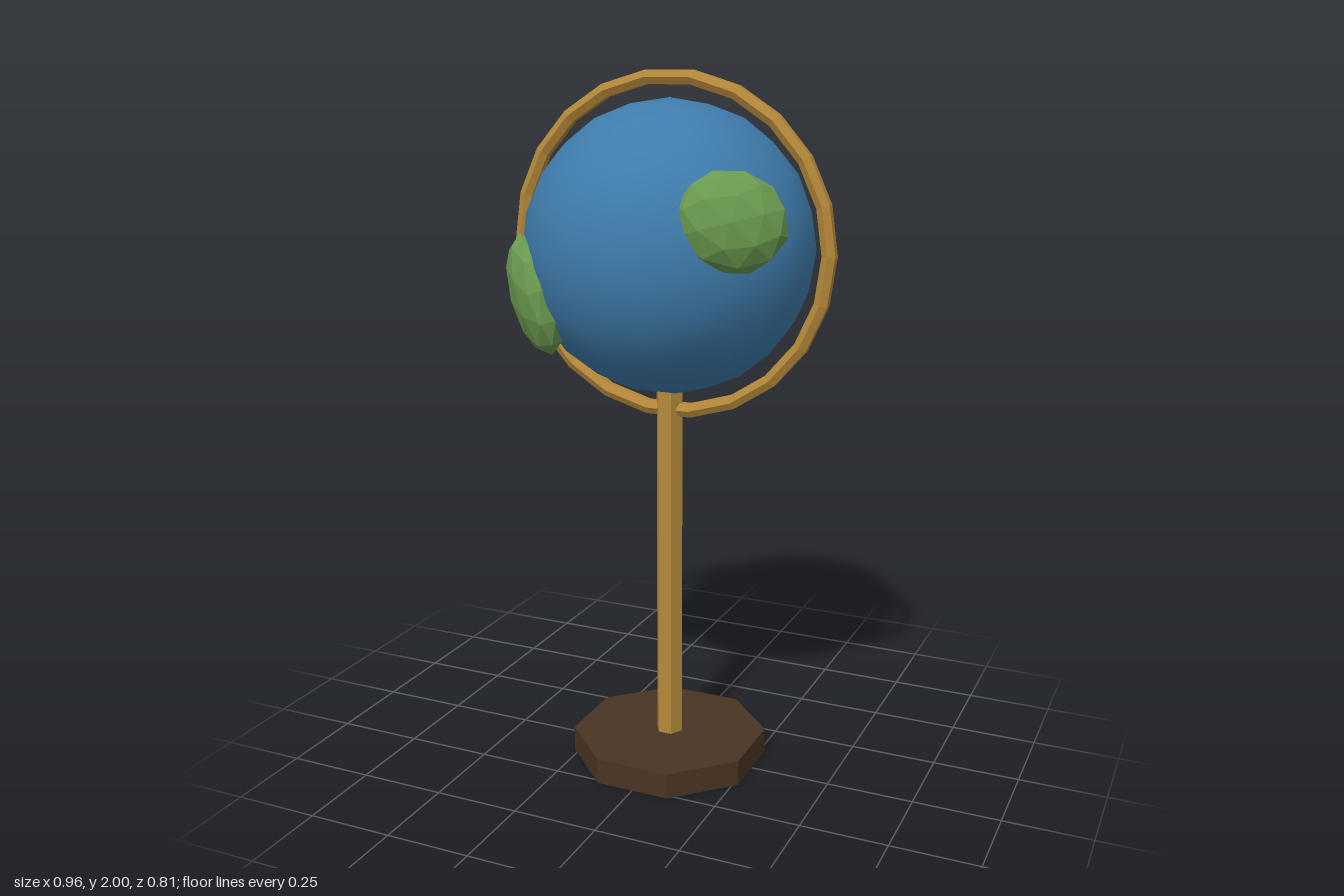
import * as THREE from 'three';

const material = (name, color, flatShading = true) => {
  const m = new THREE.MeshStandardMaterial({ color, flatShading });
  m.name = name;
  return m;
};

export function createModel() {
  const wood = material('darkWood', 0x4a3423);
  const brass = material('brass', 0xb5883a);
  const ocean = material('oceanBlue', 0x3f7cac, false);
  const land = material('landGreen', 0x6a994e);

  const model = new THREE.Group();
  model.name = 'globeOnStand';
  const centreY = 1.525;

  const add = (name, geometry, mat, x = 0, y = 0, z = 0) => {
    const mesh = new THREE.Mesh(geometry, mat);
    mesh.name = name;
    mesh.position.set(x, y, z);
    model.add(mesh);
    return mesh;
  };

  // Octagonal foot with flat sides facing the axes
  const foot = new THREE.CylinderGeometry(0.287, 0.287, 0.075, 8).rotateY(Math.PI / 8);
  add('base', foot, wood, 0, 0.0375);

  // Hexagonal post with corners on the x axis
  const post = new THREE.CylinderGeometry(0.04, 0.04, 1.07, 6).rotateY(Math.PI / 6);
  add('post', post, brass, 0, 0.605);

  // Smooth globe
  add('globe', new THREE.IcosahedronGeometry(0.403, 3), ocean, 0, centreY);

  // Upright ring with a hexagonal section
  const section = [];
  for (let i = 0; i <= 6; i++) {
    const a = Math.PI / 6 + (i * Math.PI) / 3;
    section.push(new THREE.Vector2(0.46 + 0.022 * Math.cos(a), 0.022 * Math.sin(a)));
  }
  const ring = new THREE.LatheGeometry(section, 22, Math.PI / 2).rotateX(Math.PI / 2);
  add('meridianRing', ring, brass, 0, centreY);

  // Flattened faceted land masses, facing along a normal and rolled about it
  const addLand = (name, size, position, normal, roll) => {
    const geometry = new THREE.IcosahedronGeometry(1, 1).scale(...size);
    const mesh = add(name, geometry, land, ...position);
    mesh.lookAt(new THREE.Vector3(...normal).add(mesh.position));
    mesh.rotateZ(roll);
  };
  addLand('leftLand', [0.148, 0.13, 0.075], [0.285, 1.635, 0.263], [0.34, 0.1, 0.93], -0.25);
  addLand('rightLand', [0.11, 0.17, 0.07], [-0.292, 1.41, 0.234], [-0.75, -0.2, 0.6], 0.25);

  return model;
}
